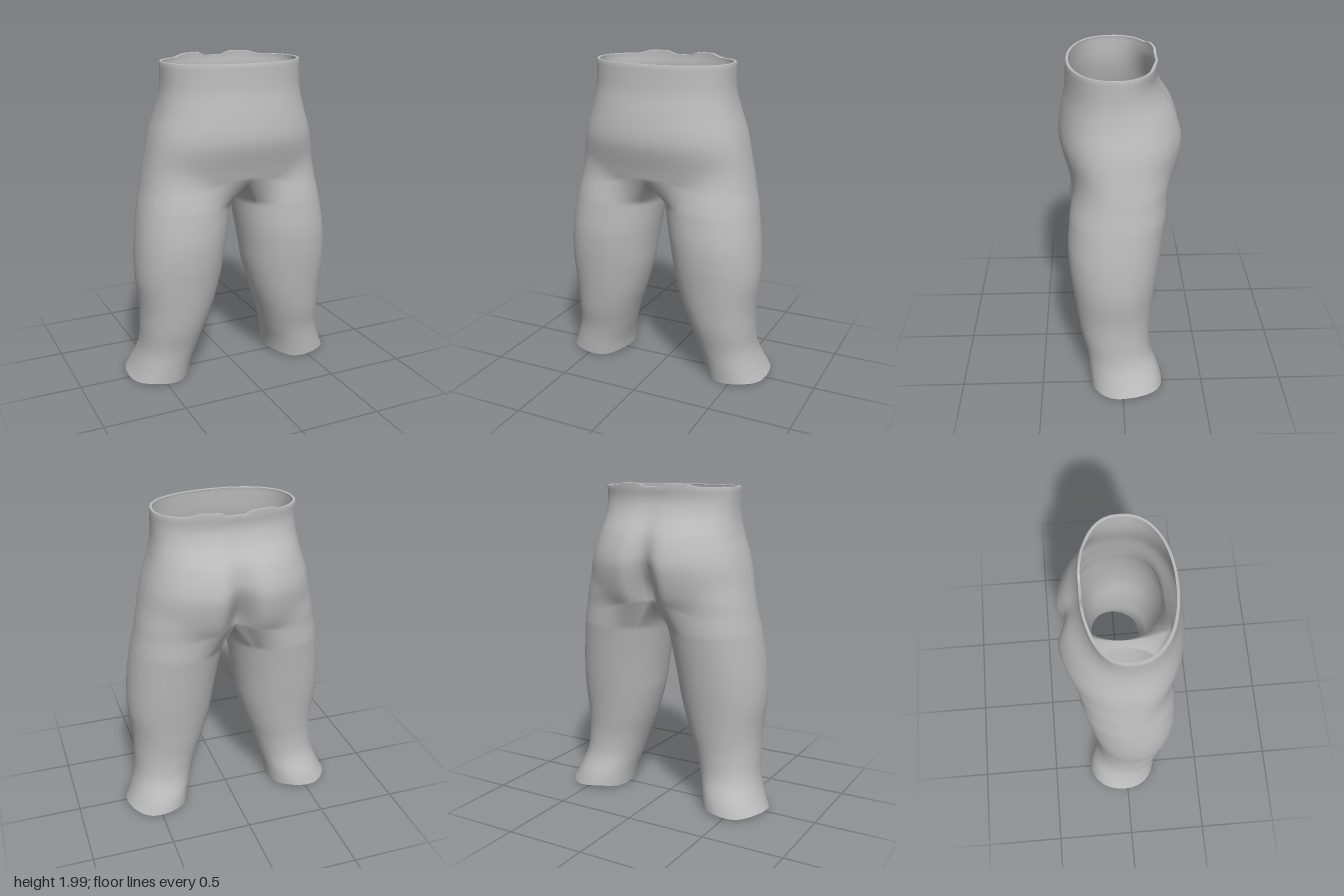
import * as THREE from 'three';
import { mergeVertices } from 'three/addons/utils/BufferGeometryUtils.js';

// leg sections: y, inner x, outer x, front z, back z
const LEG = [
  [0.00, 0.295, 0.705, 0.19, -0.255],
  [0.10, 0.28, 0.655, 0.20, -0.23],
  [0.22, 0.245, 0.615, 0.215, -0.18],
  [0.36, 0.20, 0.606, 0.25, -0.17],
  [0.50, 0.15, 0.608, 0.275, -0.182],
  [0.68, 0.10, 0.628, 0.30, -0.205],
  [0.80, 0.08, 0.628, 0.314, -0.222],
  [0.94, 0.057, 0.617, 0.32, -0.24],
  [1.14, 0.022, 0.588, 0.305, -0.268],
  [1.23, 0.0, 0.568, 0.30, -0.285],
  [1.36, 0.0, 0.545, 0.30, -0.335],
  [1.50, 0.0, 0.515, 0.30, -0.36],
];
// hip sections: y, half width, front z, back z, depth of the rear cleft
const HIP = [
  [1.10, 0.595, 0.29, -0.26, 0.06],
  [1.23, 0.57, 0.295, -0.285, 0.09],
  [1.35, 0.545, 0.32, -0.34, 0.13],
  [1.50, 0.515, 0.36, -0.372, 0.09],
  [1.58, 0.495, 0.363, -0.366, 0.06],
  [1.70, 0.458, 0.346, -0.322, 0.03],
  [1.81, 0.436, 0.325, -0.25, 0.01],
  [1.90, 0.432, 0.317, -0.217, 0.004],
  [1.98, 0.433, 0.313, -0.223, 0.004],
];
const lerp = THREE.MathUtils.lerp, smooth = THREE.MathUtils.smoothstep;

// smooth interpolation of a section table at height y
function sample(table, y) {
  const n = table.length;
  y = THREE.MathUtils.clamp(y, table[0][0], table[n - 1][0]);
  let i = 0;
  while (i < n - 2 && y > table[i + 1][0]) i++;
  const slope = (k, c) => {
    const a = table[Math.max(k - 1, 0)], b = table[Math.min(k + 1, n - 1)];
    return (b[c] - a[c]) / (b[0] - a[0]);
  };
  const h = table[i + 1][0] - table[i][0], s = (y - table[i][0]) / h;
  return table[i].map((v, c) => {
    const w = table[i + 1][c];
    return v + (w - v) * s * s * (3 - 2 * s)
      + h * slope(i, c) * s * (1 - s) * (1 - s) - h * slope(i + 1, c) * s * s * (1 - s);
  });
}

const pow = (v, p) => Math.sign(v) * Math.abs(v) ** p;
const OUT = 56, IN = 24;            // segments round the outside and the inner thigh
const SPREAD = 0.8;                 // how far the outside wraps inward on a leg

// angle 0 is the front, PI/2 the outer side
function legPoint(y, a) {
  const [, xi, xo, zf, zb] = sample(LEG, y);
  const zm = (zf + zb) / 2;
  return new THREE.Vector3((xi + xo) / 2 + (xo - xi) / 2 * pow(Math.sin(a), 0.94), y,
    zm + (zf - zb) / 2 * pow(Math.cos(a), 0.94));
}
function hipPoint(y, t) {
  const [, w, zf, zb, cleft] = sample(HIP, y);
  const c = Math.cos(t), x = w * pow(Math.max(Math.sin(t), 0), 0.95);
  let z = 0.03 + (c > 0 ? zf - 0.03 : 0.03 - zb) * pow(c, 0.85);
  if (c < 0) z += cleft * Math.exp(-((x / 0.075) ** 2));
  return new THREE.Vector3(x, y, z);
}
const legAngle = (t) => -SPREAD + t / Math.PI * (Math.PI + 2 * SPREAD);

// outer arc of the hips, blending from the thigh shape
function hipArc(s) {
  const pts = [];
  for (let i = 0; i <= OUT; i++) {
    const t = Math.PI * i / OUT, w = Math.abs(Math.cos(t)) ** 5;
    const y = lerp(lerp(1.2, 1.975, s), lerp(1.29, 1.975, s), w);
    const b = smooth(y, 1.13, 1.45 - 0.17 * w);
    const p = legPoint(y, legAngle(t)).lerp(hipPoint(y, t), b);
    if (i === 0 || i === OUT) p.x = 0;
    p.x = Math.max(p.x, 0);
    pts.push(p);
  }
  return pts;
}

function trouserGeometry() {
  const legRings = [], hipRings = [];
  // leg rings, with an uneven cuff at the bottom
  for (let k = 0; k <= 32; k++) {
    const y = lerp(0.03, 1.14, k / 32), ring = [];
    for (let i = 0; i < OUT + IN; i++) {
      const a = i <= OUT ? legAngle(Math.PI * i / OUT)
        : Math.PI + SPREAD + (i - OUT) / IN * (Math.PI - 2 * SPREAD);
      const p = legPoint(y, a);
      const low = 1 - smooth(y, 0.03, 0.12);
      p.y += low * (-0.014 * Math.max(0, Math.cos(a)) + 0.006 * Math.sin(4 * a));
      ring.push(p);
    }
    legRings.push(ring);
  }
  for (let k = 0; k <= 28; k++) hipRings.push(hipArc(k / 28));
  // crotch ring: first hip arc closed by a sagging centre seam
  const seam = hipRings[0].slice(), f = seam[0], b = seam[OUT];
  for (let i = 1; i < IN; i++) {
    const s = i / IN, p = b.clone().lerp(f, s);
    p.y -= 0.1 * Math.sin(Math.PI * s) ** 0.8;
    seam.push(p);
  }
  legRings.push(seam);
  // waist hem: raised a little at the back with a notch, then turned inward
  const top = hipRings[28];
  for (const p of top) {
    if (p.z < 0) p.y += 0.02 * smooth(p.x, 0.05, 0.1) * (1 - smooth(p.x, 0.2, 0.3));
  }
  for (const [inset, rise] of [[0.006, 0.005], [0.018, 0.002]]) {
    hipRings.push(top.map((p) => new THREE.Vector3(p.x * (1 - inset / 0.43),
      p.y + rise, 0.04 + (p.z - 0.04) * (1 - inset / 0.27))));
  }

  const pos = [];
  const tri = (...q) => {
    for (const p of q) pos.push(p.x, p.y, p.z);
    for (const p of [q[0], q[2], q[1]]) pos.push(-p.x, p.y, p.z);   // mirrored side
  };
  const skin = (rings, closed) => {
    for (let j = 0; j + 1 < rings.length; j++) {
      const n = rings[j].length;
      for (let i = 0; i < (closed ? n : n - 1); i++) {
        const m = (i + 1) % n, lo = rings[j], hi = rings[j + 1];
        tri(lo[i], lo[m], hi[m]);
        tri(lo[i], hi[m], hi[i]);
      }
    }
  };
  skin(legRings, true);
  skin(hipRings, false);
  let geo = new THREE.BufferGeometry();
  geo.setAttribute('position', new THREE.Float32BufferAttribute(pos, 3));
  geo = mergeVertices(geo, 1e-4);
  geo.computeVertexNormals();
  return geo;
}

export function createModel() {
  const cloth = new THREE.MeshStandardMaterial({ color: 0xbcbcbc, side: THREE.DoubleSide });
  cloth.name = 'grey cloth';
  const trousers = new THREE.Mesh(trouserGeometry(), cloth);
  trousers.name = 'trousers';
  const group = new THREE.Group();
  group.name = 'trousersModel';
  group.add(trousers);
  return group;
}
